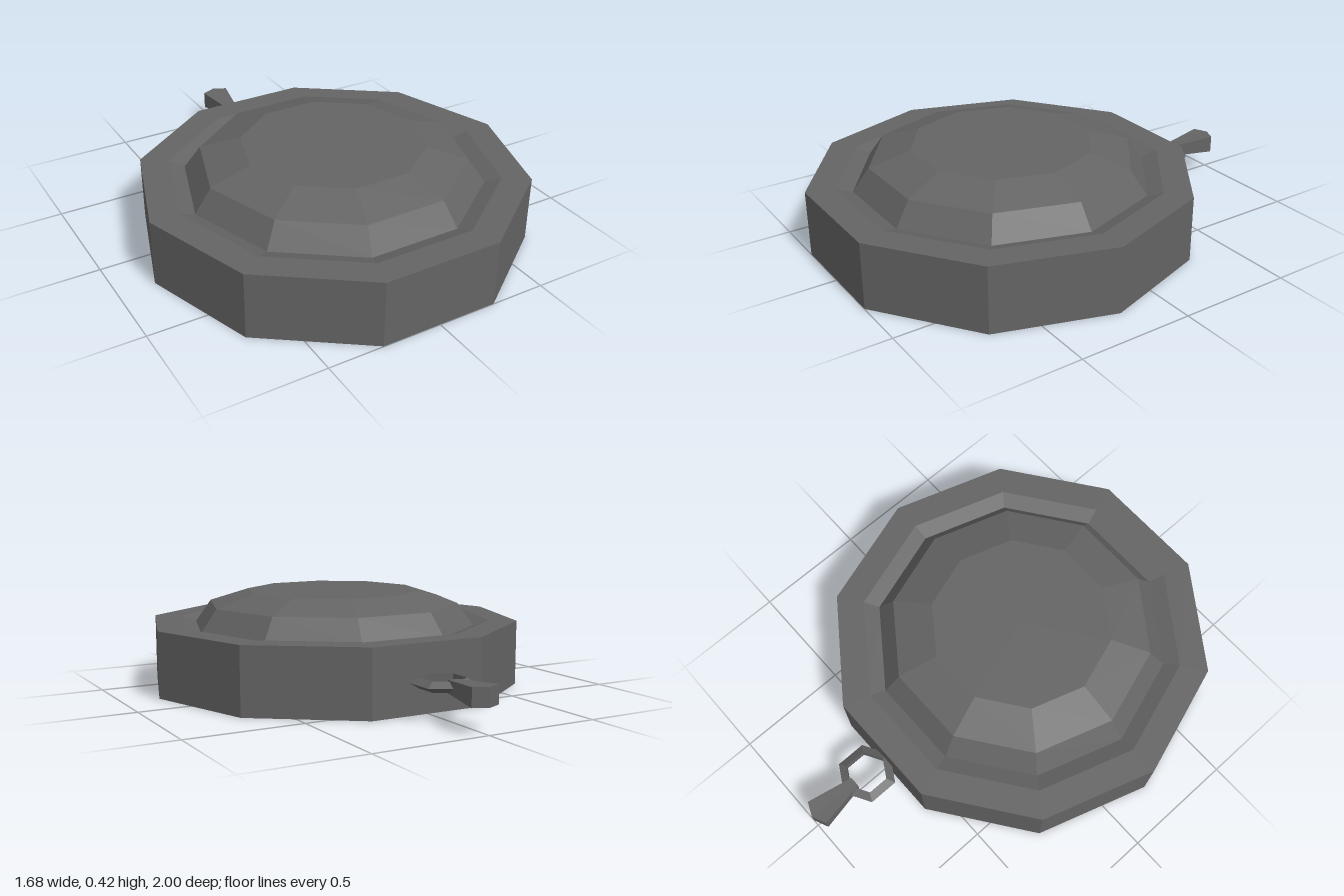
import * as THREE from 'three';

const material = new THREE.MeshStandardMaterial({ color: 0x646464, flatShading: true });
const SIDES = 10;
const BODY_Z = 0.2;
const LOOP_Y = 0.143;

function addMesh(group, name, geometry) {
  const mesh = new THREE.Mesh(geometry, material);
  mesh.name = name;
  group.add(mesh);
  return mesh;
}

// Ten-sided turned solid with a corner on the x axis
function turned(profile) {
  const points = profile.map(([r, y]) => new THREE.Vector2(r, y));
  return new THREE.LatheGeometry(points, SIDES, Math.PI / 2).translate(0, 0, BODY_Z);
}

// Bar that widens towards the back and ends in a blunt point
function hangerGeometry() {
  const geometry = new THREE.BoxGeometry(2, 2, 1, 2, 1, 1);
  const pos = geometry.attributes.position;
  for (let i = 0; i < pos.count; i++) {
    const x = pos.getX(i);
    const y = pos.getY(i);
    const back = pos.getZ(i) < 0;
    const z = back ? (x === 0 ? -1 : -0.972) : -0.765;
    pos.setXYZ(i, x * (back ? 0.062 : 0.023), y * (back ? 0.039 : 0.026), z);
  }
  geometry.translate(0, LOOP_Y, 0);
  geometry.computeVertexNormals();
  return geometry;
}

export function createModel() {
  const group = new THREE.Group();
  group.name = 'pendant';

  // Case with a shallow bevelled seat for the stone
  addMesh(group, 'case', turned([
    [0, 0], [0.84, 0], [0.84, 0.29], [0.715, 0.29], [0.645, 0.267], [0, 0.267],
  ]));

  // Faceted stone
  addMesh(group, 'stone', turned([
    [0.645, 0.267], [0.573, 0.367], [0.395, 0.423], [0, 0.423],
  ]));

  // Six-sided ring with a triangular section
  const ring = addMesh(group, 'ring', new THREE.TorusGeometry(0.105, 0.026, 3, 6));
  ring.rotation.set(-Math.PI / 2, 0, Math.PI / 6);
  ring.position.set(0, LOOP_Y, -0.7);

  // Tapered hanger
  addMesh(group, 'hanger', hangerGeometry());

  return group;
}
